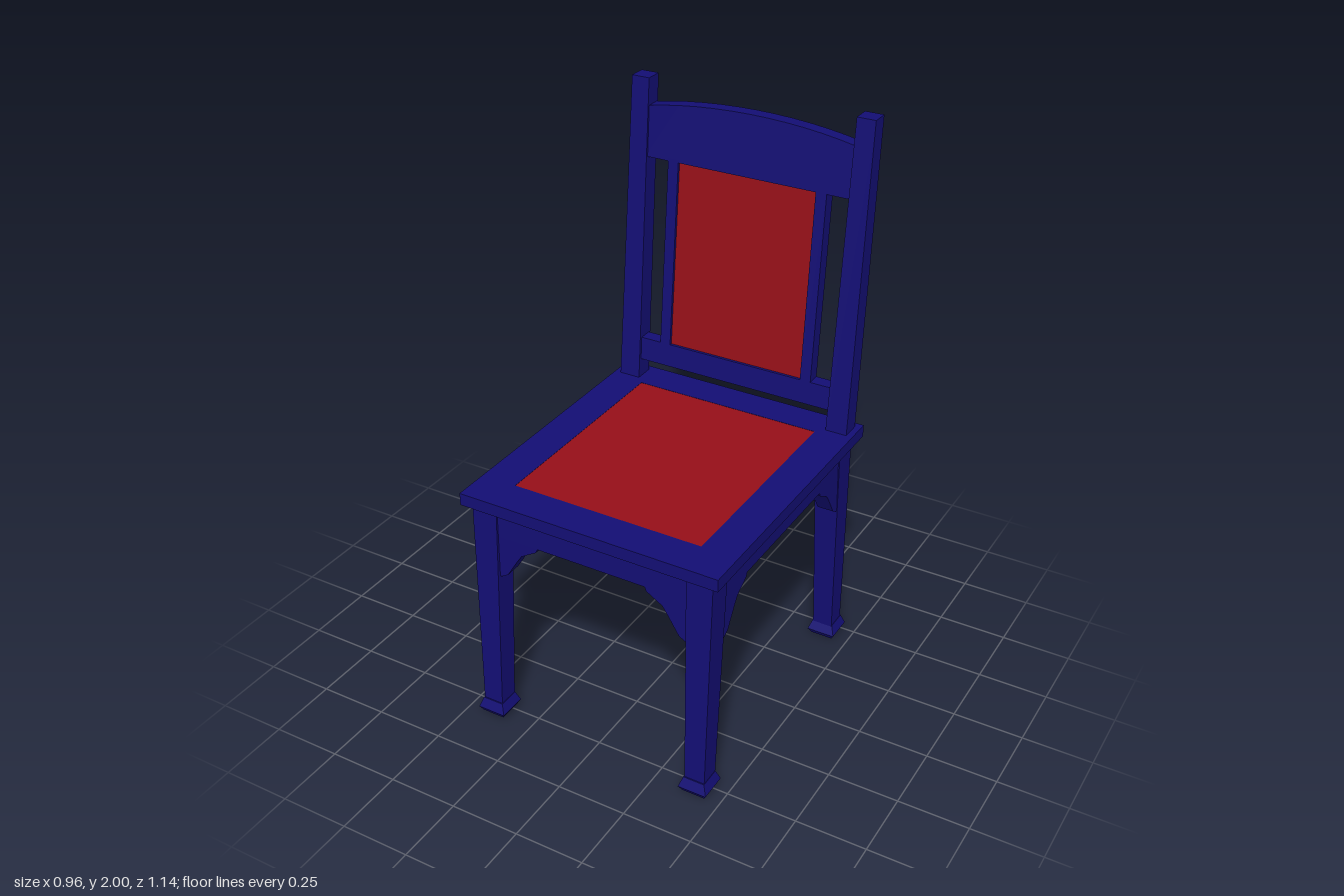
import * as THREE from 'three';

const blue = new THREE.MeshStandardMaterial({ color: 0x130e74, flatShading: true });
const red = new THREE.MeshStandardMaterial({ color: 0x960f18, flatShading: true });

// Backrest leans: z follows y along the posts
const LEAN = -0.0842;
const backZ = (y) => -0.445 + LEAN * (y - 0.895);

function add(parent, name, geometry, material = blue) {
  const mesh = new THREE.Mesh(geometry, material);
  mesh.name = name;
  parent.add(mesh);
  return mesh;
}

// Box given by its limits
function block(x0, x1, y0, y1, z0, z1) {
  return new THREE.BoxGeometry(x1 - x0, y1 - y0, z1 - z0)
    .translate((x0 + x1) / 2, (y0 + y1) / 2, (z0 + z1) / 2);
}

// Box between two rectangles [x0, x1, z0, z1] at heights y0 and y1
function taper(y0, low, y1, high) {
  const g = new THREE.BoxGeometry(1, 1, 1);
  const p = g.attributes.position;
  for (let i = 0; i < p.count; i++) {
    const top = p.getY(i) > 0;
    const r = top ? high : low;
    p.setXYZ(i, p.getX(i) > 0 ? r[1] : r[0], top ? y1 : y0, p.getZ(i) > 0 ? r[3] : r[2]);
  }
  g.computeVertexNormals();
  return g;
}

function polygon(points) {
  return new THREE.Shape(points.map(([x, y]) => new THREE.Vector2(x, y)));
}

function extrude(shape, depth) {
  return new THREE.ExtrudeGeometry(shape, { depth, bevelEnabled: false, curveSegments: 12 });
}

// Shear an upright piece centred on z = 0 onto the leaning back
function lean(g) {
  const p = g.attributes.position;
  for (let i = 0; i < p.count; i++) p.setZ(i, p.getZ(i) + backZ(p.getY(i)));
  g.computeVertexNormals();
  return g;
}

export function createModel() {
  const chair = new THREE.Group();
  chair.name = 'chair';

  // Seat frame with an open middle, and the upholstered panel set in it
  const frame = polygon([[-0.48, -0.555], [0.48, -0.555], [0.48, 0.505], [-0.48, 0.505]]);
  frame.holes.push(new THREE.Path([[-0.35, -0.425], [-0.35, 0.38], [0.35, 0.38], [0.35, -0.425]]
    .map(([x, y]) => new THREE.Vector2(x, y))));
  add(chair, 'seatFrame', extrude(frame, 0.045).rotateX(-Math.PI / 2).translate(0, 0.85, 0));
  add(chair, 'seatPanel', block(-0.35, 0.35, 0.86, 0.894, -0.38, 0.425), red);

  // Apron rails under the seat
  add(chair, 'frontApron', block(-0.40, 0.40, 0.75, 0.85, 0.465, 0.525));
  add(chair, 'backApron', block(-0.40, 0.40, 0.75, 0.85, -0.47, -0.41));
  for (const s of [-1, 1]) {
    const a = s * 0.385, b = s * 0.445;
    add(chair, 'sideApron', block(Math.min(a, b), Math.max(a, b), 0.75, 0.85, -0.42, 0.48));
  }

  // Curved corner bracket, measured inward from the leg's inner face
  const bracket = polygon([[-0.03, 0.59], [0.005, 0.59], [0.03, 0.605], [0.07, 0.67],
    [0.09, 0.70], [0.148, 0.735], [0.155, 0.752], [-0.03, 0.752]]);

  for (const sx of [-1, 1]) {
    for (const sz of [-1, 1]) {
      const leg = new THREE.Group();
      leg.name = sz > 0 ? 'frontLeg' : 'backLeg';
      chair.add(leg);
      const shift = sz > 0 ? 0 : -0.055;
      // Rectangle from distances out from the middle, mirrored to this corner
      const rect = (xi, xo, zi, zo) => {
        const x = [sx * xi, sx * xo].sort((a, b) => a - b);
        const z = [sz * (zi + shift), sz * (zo + shift)].sort((a, b) => a - b);
        return [...x, ...z];
      };
      add(leg, 'legPost', taper(0.04, rect(0.366, 0.44, 0.478, 0.553),
        0.85, rect(0.355, 0.45, 0.436, 0.53)));

      // Flared foot
      const foot = (h) => rect(0.4025 - h, 0.4025 + h, 0.5175 - h, 0.5175 + h);
      add(leg, 'footBase', taper(0, foot(0.041), 0.02, foot(0.0525)));
      add(leg, 'footFlare', taper(0.02, foot(0.0525), 0.057, foot(0.039)));

      // One bracket along the front or back, one along the side
      const across = extrude(bracket, 0.06);
      if (sx > 0) across.rotateY(Math.PI).translate(0, 0, 0.06);
      add(leg, 'bracketAcross', across.translate(sx * 0.357, 0, sz > 0 ? 0.465 : -0.47));
      const along = extrude(bracket, 0.06).translate(0, 0, -0.03);
      along.rotateY(sz * Math.PI / 2);
      add(leg, 'bracketAlong', along.translate(sx * 0.415, 0, sz * (0.447 + shift)));
    }
  }

  // Backrest
  const back = new THREE.Group();
  back.name = 'backrest';
  chair.add(back);
  for (const s of [-1, 1]) {
    const span = (a, b) => (s > 0 ? [a, b] : [-b, -a]);
    add(back, 'backPost', lean(taper(0.89, [...span(0.378, 0.457), -0.036, 0.036],
      2, [...span(0.383, 0.45), -0.032, 0.032])));
    add(back, 'backStile', lean(block(...span(0.26, 0.30), 1.04, 1.735, -0.025, 0.025)));
  }
  add(back, 'lowerRail', lean(block(-0.39, 0.39, 0.965, 1.05, -0.025, 0.025)));
  add(back, 'backPanel', lean(block(-0.26, 0.26, 1.045, 1.73, -0.015, 0.015)), red);

  // Top rail with an arched upper edge
  const arch = new THREE.Shape();
  arch.moveTo(-0.39, 1.725);
  arch.lineTo(0.39, 1.725);
  arch.lineTo(0.39, 1.903);
  arch.bezierCurveTo(0.15, 1.952, -0.15, 1.952, -0.39, 1.903);
  add(back, 'topRail', lean(extrude(arch, 0.05).translate(0, 0, -0.025)));

  return chair;
}
